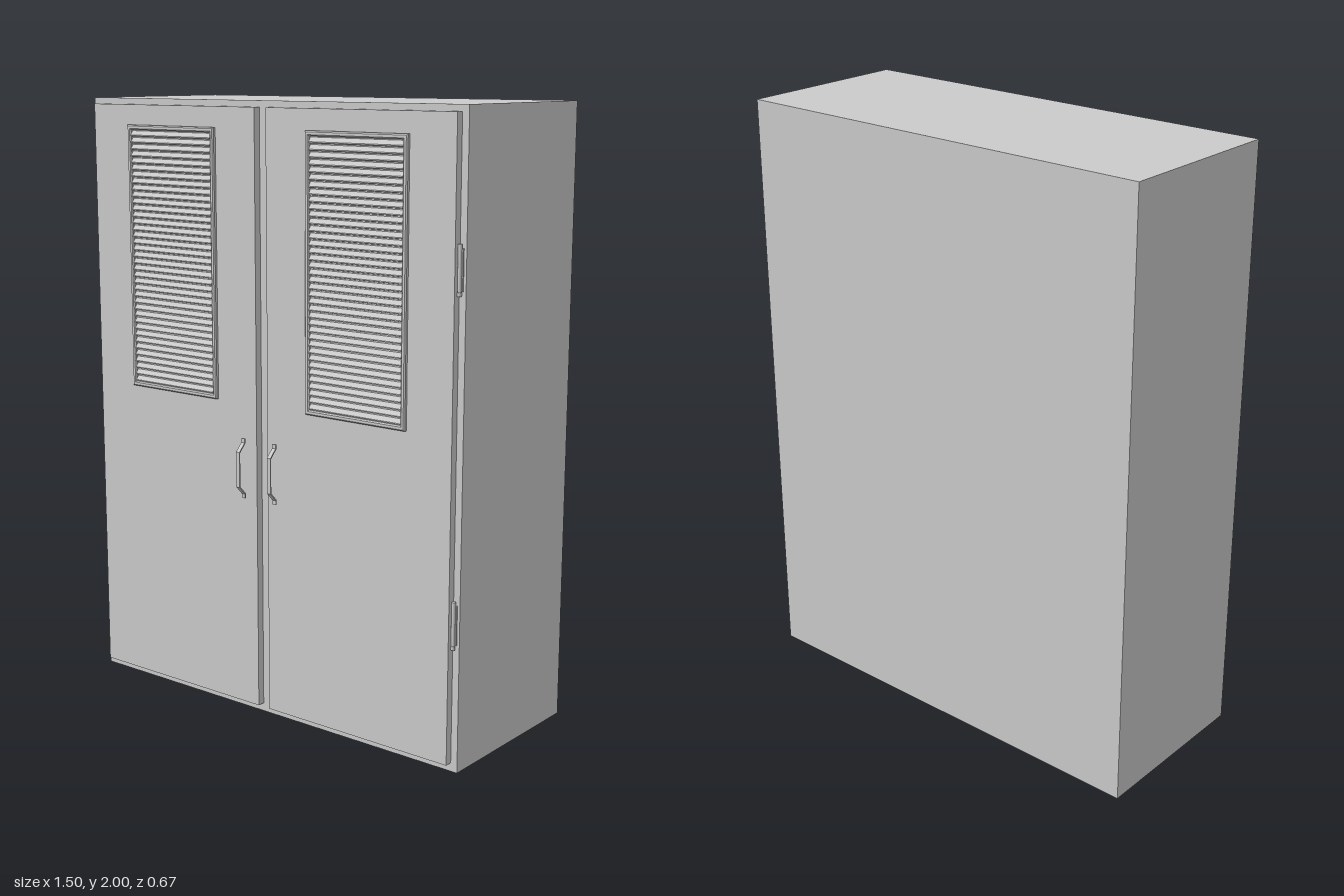
import * as THREE from 'three';

const material = new THREE.MeshStandardMaterial({ color: 0xcccccc });
const BODY_FRONT = 0.263, DOOR_FRONT = 0.288;

function add(parent, name, geometry, x = 0, y = 0, z = 0) {
  const mesh = new THREE.Mesh(geometry, material);
  mesh.name = name;
  mesh.position.set(x, y, z);
  parent.add(mesh);
  return mesh;
}

// Box given by its limits on each axis
function addBox(parent, name, [x0, x1], [y0, y1], [z0, z1]) {
  return add(parent, name, new THREE.BoxGeometry(x1 - x0, y1 - y0, z1 - z0),
    (x0 + x1) / 2, (y0 + y1) / 2, (z0 + z1) / 2);
}

// Extrude a (z, y) profile along x, centred on x = 0
function extrudeAcross(points, width) {
  const shape = new THREE.Shape(points.map(([z, y]) => new THREE.Vector2(z, y)));
  const geometry = new THREE.ExtrudeGeometry(shape, { depth: width, bevelEnabled: false });
  return geometry.translate(0, 0, -width / 2).rotateY(-Math.PI / 2);
}

function rectangle(PathType, w, h) {
  return new PathType([
    new THREE.Vector2(-w / 2, -h / 2), new THREE.Vector2(w / 2, -h / 2),
    new THREE.Vector2(w / 2, h / 2), new THREE.Vector2(-w / 2, h / 2),
  ]);
}

// Bevelled rim around the louvres
function ventFrameGeometry(w, h, rim, bevel) {
  const shape = rectangle(THREE.Shape, w - 2 * bevel, h - 2 * bevel);
  shape.holes.push(rectangle(THREE.Path, w - 2 * (rim - bevel), h - 2 * (rim - bevel)));
  return new THREE.ExtrudeGeometry(shape, {
    depth: 0.012, bevelThickness: bevel, bevelSize: bevel, bevelSegments: 1,
  });
}

// Downward sloping slats as one sawtooth profile
function louvreGeometry(w, h, count) {
  const pitch = h / count;
  const points = [[-0.004, 0]];
  for (let i = 0; i < count; i++) {
    const y = i * pitch;
    points.push([0.001, y], [0.011, y + pitch * 0.1], [0.011, y + pitch * 0.25], [0.001, y + pitch * 0.85]);
  }
  points.push([0.001, h], [-0.004, h]);
  return extrudeAcross(points, w);
}

// Flat bar bent outward with a short foot at each end
function handleGeometry() {
  const t = 0.004;
  const outer = [[0.307, 0.736], [0.307, 0.75], [0.333, 0.777], [0.333, 0.893], [0.307, 0.92], [0.307, 0.934]];
  const inner = [[0.303, 0.934], [0.303, 0.918], [0.333 - t, 0.891], [0.333 - t, 0.779], [0.303, 0.752], [0.303, 0.736]];
  return extrudeAcross([...outer, ...inner], 0.014);
}

function createDoor(side) {
  const door = new THREE.Group();
  door.name = side > 0 ? 'leftDoor' : 'rightDoor';
  const span = (a, b) => (side > 0 ? [a, b] : [-b, -a]);

  addBox(door, 'doorPanel', span(0.023, 0.727), [0.027, 1.98], [BODY_FRONT, DOOR_FRONT]);

  // Ventilation panel
  const cx = side * 0.375, w = 0.38, y0 = 1.045, h = 0.87, rim = 0.016;
  add(door, 'ventFrame', ventFrameGeometry(w, h, rim, 0.004), cx, y0 + h / 2, DOOR_FRONT - 0.004);
  add(door, 'louvres', louvreGeometry(w - 2 * rim, h - 2 * rim, 38), cx, y0 + rim, DOOR_FRONT);

  add(door, 'handle', handleGeometry(), side * 0.065);

  // Hinges: a leaf against the body and a pin barrel
  for (const y of [0.47, 1.535]) {
    const hinge = new THREE.Group();
    hinge.name = 'hinge';
    addBox(hinge, 'hingeLeaf', span(0.725, 0.741), [y - 0.062, y + 0.062], [BODY_FRONT, 0.268]);
    add(hinge, 'hingeBarrel', new THREE.CylinderGeometry(0.006, 0.006, 0.13, 12), side * 0.733, y, 0.272);
    for (const end of [-1, 1]) {
      add(hinge, 'hingeCap', new THREE.CylinderGeometry(0.007, 0.007, 0.012, 12),
        side * 0.733, y + end * 0.069, 0.272);
    }
    door.add(hinge);
  }
  return door;
}

export function createModel() {
  const cabinet = new THREE.Group();
  cabinet.name = 'cabinet';
  addBox(cabinet, 'body', [-0.75, 0.75], [0, 2], [-0.333, BODY_FRONT]);
  for (const side of [-1, 1]) cabinet.add(createDoor(side));
  return cabinet;
}
